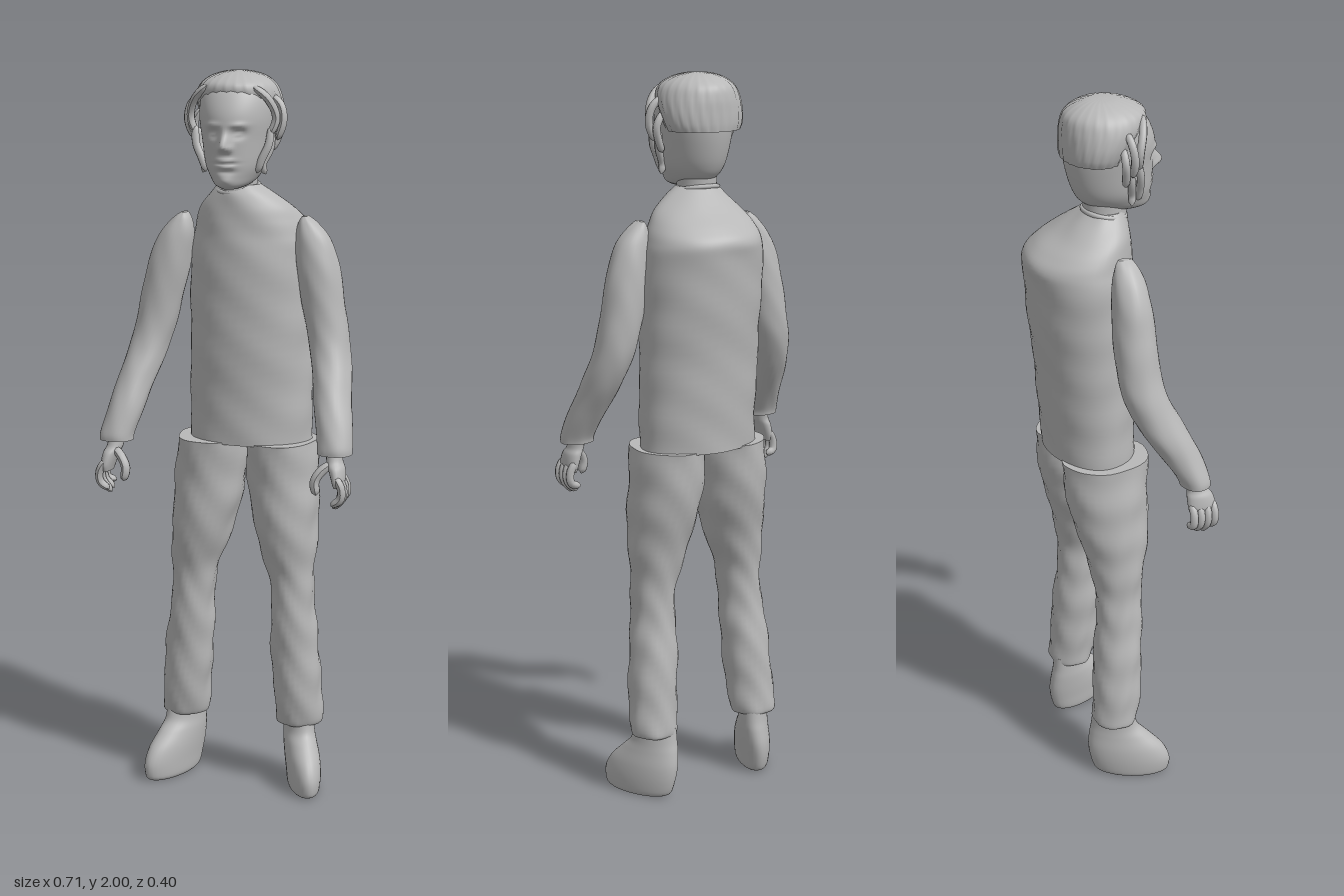
import * as THREE from 'three';

const grey = new THREE.MeshStandardMaterial({ color: 0xb8b8b8 });
grey.name = 'plain grey';

// Smooth interpolation between cross-sections
function spline(rows, steps) {
  const out = [], at = (i) => rows[Math.max(0, Math.min(rows.length - 1, i))];
  for (let i = 0; i < rows.length - 1; i++) {
    for (let s = 0; s < steps; s++) {
      const t = s / steps;
      out.push(rows[i].map((b, k) => {
        const a = at(i - 1)[k], c = at(i + 1)[k], d = at(i + 2)[k];
        return b + 0.5 * t * (c - a + t * (2 * a - 5 * b + 4 * c - d + t * (3 * (b - c) + d - a)));
      }));
    }
  }
  out.push(rows[rows.length - 1]);
  return out;
}

// Capped body through elliptical sections [y, centreX, centreZ, radiusX, radiusZ], from the bottom up
function loft(name, rows, { sides = 32, steps = 6, shape = null } = {}) {
  const rings = spline(rows, steps), pos = [], idx = [];
  const p = new THREE.Vector3();
  rings.forEach(([y, cx, cz, rx, rz]) => {
    for (let j = 0; j < sides; j++) {
      const a = (j / sides) * Math.PI * 2;
      p.set(cx + rx * Math.sin(a), y, cz + rz * Math.cos(a));
      if (shape) shape(p, a);
      pos.push(p.x, p.y, p.z);
    }
  });
  for (let i = 0; i < rings.length - 1; i++) {
    for (let j = 0; j < sides; j++) {
      const k = (j + 1) % sides, a = i * sides, b = a + sides;
      idx.push(a + j, a + k, b + k, a + j, b + k, b + j);
    }
  }
  [0, rings.length - 1].forEach((r) => {
    const start = pos.length / 3, c = [0, 0, 0];
    for (let j = 0; j < sides; j++) {
      for (let k = 0; k < 3; k++) {
        const v = pos[(r * sides + j) * 3 + k];
        pos.push(v);
        c[k] += v / sides;
      }
    }
    pos.push(...c);
    for (let j = 0; j < sides; j++) {
      const k = (j + 1) % sides;
      if (r) idx.push(start + sides, start + j, start + k);
      else idx.push(start + sides, start + k, start + j);
    }
  });
  const g = new THREE.BufferGeometry();
  g.setAttribute('position', new THREE.Float32BufferAttribute(pos, 3));
  g.setIndex(idx);
  g.computeVertexNormals();
  const m = new THREE.Mesh(g, grey);
  m.name = name;
  return m;
}

// Round-ended strand along a few points, for fingers and hair locks
function strand(name, pts, radius) {
  const curve = new THREE.CatmullRomCurve3(pts.map((q) => new THREE.Vector3(...q)));
  const g = new THREE.TubeGeometry(curve, 14, radius, 8), a = g.attributes.position;
  const c = new THREE.Vector3(), v = new THREE.Vector3();
  for (let i = 0; i < a.count; i++) {
    const t = Math.floor(i / 9) / 14;
    curve.getPointAt(t, c);
    v.fromBufferAttribute(a, i).sub(c).multiplyScalar(Math.pow(Math.max(0, 1 - Math.pow(2 * t - 1, 6)), 0.5)).add(c);
    a.setXYZ(i, v.x, v.y, v.z);
  }
  g.computeVertexNormals();
  const m = new THREE.Mesh(g, grey);
  m.name = name;
  return m;
}

const bump = (x, y, cx, cy, sx, sy) => Math.exp(-(((x - cx) / sx) ** 2) - ((y - cy) / sy) ** 2);

// Nose, brows, eyes, lips and chin pressed into the front of the head
function face(p, a) {
  if (Math.cos(a) < 0.05) return;
  const x = p.x - 0.006, y = p.y, ax = Math.abs(x);
  let d = 0.034 * bump(x, y, 0, 1.808, 0.013, y > 1.808 ? 0.03 : 0.012);
  d += 0.009 * bump(ax, y, 0.014, 1.803, 0.007, 0.009);
  d -= 0.015 * bump(ax, y, 0.034, 1.842, 0.017, 0.012);
  d += 0.008 * bump(ax, y, 0.034, 1.84, 0.011, 0.006);
  d += 0.006 * bump(ax, y, 0.036, 1.864, 0.022, 0.007);
  d += 0.009 * bump(x, y, 0, 1.772, 0.022, 0.006);
  d += 0.009 * bump(x, y, 0, 1.756, 0.019, 0.006);
  d -= 0.006 * bump(x, y, 0, 1.764, 0.028, 0.003);
  d -= 0.005 * bump(x, y, 0, 1.742, 0.025, 0.007);
  d += 0.006 * bump(x, y, 0, 1.718, 0.02, 0.012);
  p.z += d;
}

// Soft cloth creases
const creases = (size) => (p, a) => {
  const w = size * Math.sin(p.y * 38 + 2 * Math.sin(a * 2)) * Math.sin(a * 3 + p.y * 13);
  p.x += w * Math.sin(a);
  p.z += w * Math.cos(a);
};

function makeHead() {
  const head = new THREE.Group();
  head.name = 'head';
  head.add(loft('neck', [
    [1.64, 0.003, 0.008, 0.062, 0.062], [1.69, 0.003, 0.012, 0.053, 0.058], [1.77, 0.003, 0.01, 0.055, 0.06],
  ]));
  head.add(loft('face', [
    [1.695, 0.005, 0.085, 0.022, 0.035], [1.705, 0.005, 0.065, 0.045, 0.068], [1.725, 0.005, 0.043, 0.063, 0.094],
    [1.76, 0.005, 0.032, 0.08, 0.108], [1.82, 0.005, 0.024, 0.091, 0.118], [1.88, 0.005, 0.022, 0.099, 0.124],
    [1.93, 0.005, 0.015, 0.098, 0.114], [1.965, 0.005, 0.01, 0.083, 0.092], [1.985, 0.005, 0.005, 0.05, 0.055],
  ], { sides: 96, steps: 12, shape: face }));
  // Hair cap, its front rising into a rounded hairline
  head.add(loft('hair', [
    [1.85, 0.004, -0.024, 0.102, 0.08], [1.87, 0.004, -0.022, 0.111, 0.084], [1.9, 0.004, -0.012, 0.116, 0.094],
    [1.935, 0.004, 0.004, 0.113, 0.108], [1.965, 0.004, 0.01, 0.1, 0.105], [1.985, 0.004, 0.008, 0.075, 0.078],
    [1.997, 0.004, 0.005, 0.04, 0.042], [2.0, 0.004, 0.004, 0.008, 0.008],
  ], {
    sides: 72,
    shape: (p, a) => {
      const w = 0.0018 * Math.sin(a * 24 + p.y * 30);
      p.x += w * Math.sin(a);
      p.z += w * Math.cos(a);
    },
  }));
  // Loose locks beside the face
  for (const s of [-1, 1]) {
    [
      [[0.06, 1.965, 0.09], [0.1, 1.93, 0.075], [0.118, 1.88, 0.06], [0.1, 1.83, 0.065]],
      [[0.095, 1.94, 0.03], [0.125, 1.91, 0.035], [0.132, 1.87, 0.04], [0.115, 1.82, 0.04]],
      [[0.1, 1.9, 0.02], [0.12, 1.86, 0.02], [0.11, 1.82, 0.025], [0.095, 1.79, 0.03]],
      [[0.105, 1.86, 0.06], [0.1, 1.81, 0.07], [0.082, 1.77, 0.075], [0.07, 1.735, 0.075]],
      [[0.1, 1.85, 0.04], [0.098, 1.8, 0.045], [0.08, 1.755, 0.055], [0.088, 1.73, 0.05]],
    ].forEach((pts) => head.add(strand('hairLock', pts.map(([x, y, z]) => [s * x + 0.004, y, z]), 0.011)));
  }
  return head;
}

function makeArm(s) {
  const arm = new THREE.Group();
  arm.name = s > 0 ? 'leftArm' : 'rightArm';
  const X = (x, y) => s * x + 0.027 * (y - 0.9);
  const rows = [
    [1.005, 0.308, 0.142, 0.047, 0.04], [1.03, 0.306, 0.136, 0.048, 0.044], [1.1, 0.291, 0.103, 0.05, 0.055],
    [1.18, 0.274, 0.058, 0.052, 0.062], [1.25, 0.258, 0.025, 0.055, 0.06], [1.32, 0.242, 0.011, 0.057, 0.058],
    [1.42, 0.222, 0.007, 0.059, 0.057], [1.5, 0.206, 0.005, 0.058, 0.052], [1.56, 0.191, 0.005, 0.047, 0.043],
    [1.6, 0.177, 0.004, 0.026, 0.03], [1.618, 0.17, 0.003, 0.008, 0.018],
  ];
  arm.add(loft('sleeve', rows.map(([y, x, ...r]) => [y, X(x, y), ...r]), { shape: creases(0.0015) }));
  // Hand with the palm turned inward
  arm.add(loft('palm', [
    [0.922, 0.325, 0.157, 0.012, 0.034], [0.94, 0.325, 0.157, 0.018, 0.04], [0.97, 0.318, 0.153, 0.022, 0.037],
    [0.99, 0.31, 0.147, 0.022, 0.028], [1.02, 0.307, 0.14, 0.022, 0.026],
  ].map(([y, x, ...r]) => [y, X(x, y), ...r]), { sides: 20 }));
  for (let i = 0; i < 4; i++) {
    const z = 0.186 - i * 0.02, tip = [0.872, 0.86, 0.866, 0.884][i];
    arm.add(strand('finger', [
      [X(0.322, 0.95), 0.955, z], [X(0.34, 0.92), 0.922, z + 0.002],
      [X(0.338, 0.9), 0.893, z], [X(0.312, 0.87), tip, z - 0.004],
    ], 0.0115));
  }
  arm.add(strand('thumb', [
    [X(0.308, 0.98), 0.985, 0.16], [X(0.28, 0.96), 0.962, 0.176],
    [X(0.266, 0.93), 0.935, 0.183], [X(0.272, 0.9), 0.898, 0.185],
  ], 0.013));
  return arm;
}

function makeLeg(s) {
  const leg = new THREE.Group();
  leg.name = s > 0 ? 'leftLeg' : 'rightLeg';
  const rows = [
    [0.18, 0.168, -0.027, 0.06, 0.058], [0.2, 0.168, -0.026, 0.066, 0.065], [0.3, 0.162, -0.016, 0.068, 0.069],
    [0.42, 0.153, -0.008, 0.067, 0.068], [0.52, 0.147, -0.003, 0.061, 0.065], [0.61, 0.141, 0, 0.062, 0.067],
    [0.7, 0.128, -0.002, 0.079, 0.084], [0.8, 0.114, -0.01, 0.093, 0.104], [0.9, 0.104, -0.017, 0.098, 0.115],
    [1.0, 0.097, -0.02, 0.097, 0.121],
  ];
  leg.add(loft('trouserLeg', rows.map(([y, x, ...r]) => [y, s * x + 0.023 * y, ...r]), { shape: creases(0.004) }));
  // Rounded shoe with the toe turned outward
  leg.add(loft('shoe', [
    [0, 0.178, 0.018, 0.04, 0.085], [0.012, 0.178, 0.016, 0.047, 0.1], [0.05, 0.178, 0.011, 0.051, 0.107],
    [0.09, 0.175, 0, 0.052, 0.1], [0.13, 0.17, -0.016, 0.049, 0.079], [0.16, 0.168, -0.027, 0.046, 0.062],
    [0.2, 0.168, -0.03, 0.045, 0.055],
  ].map(([y, x, ...r]) => [y, s * x + 0.003, ...r]), { shape: (p) => { p.x += s * 0.35 * (p.z + 0.03); } }));
  return leg;
}

export function createModel() {
  const model = new THREE.Group();
  model.name = 'standingMan';
  model.add(loft('torso', [
    [0.995, 0.028, -0.03, 0.172, 0.119], [1.1, 0.029, -0.032, 0.172, 0.123], [1.25, 0.029, -0.038, 0.173, 0.131],
    [1.4, 0.029, -0.045, 0.174, 0.14], [1.52, 0.028, -0.054, 0.172, 0.143], [1.57, 0.026, -0.057, 0.162, 0.142],
    [1.605, 0.024, -0.042, 0.148, 0.125], [1.64, 0.021, -0.018, 0.125, 0.098], [1.675, 0.013, 0, 0.087, 0.074],
    [1.7, 0.004, 0.008, 0.058, 0.054],
  ], { sides: 48, shape: creases(0.0025) }));
  const collar = new THREE.Mesh(new THREE.TorusGeometry(0.057, 0.007, 8, 32), grey);
  collar.name = 'collar';
  collar.rotation.x = Math.PI / 2 + 0.2;
  collar.position.set(0.004, 1.69, 0.01);
  model.add(collar, makeHead());
  for (const s of [-1, 1]) model.add(makeArm(s), makeLeg(s));
  return model;
}
